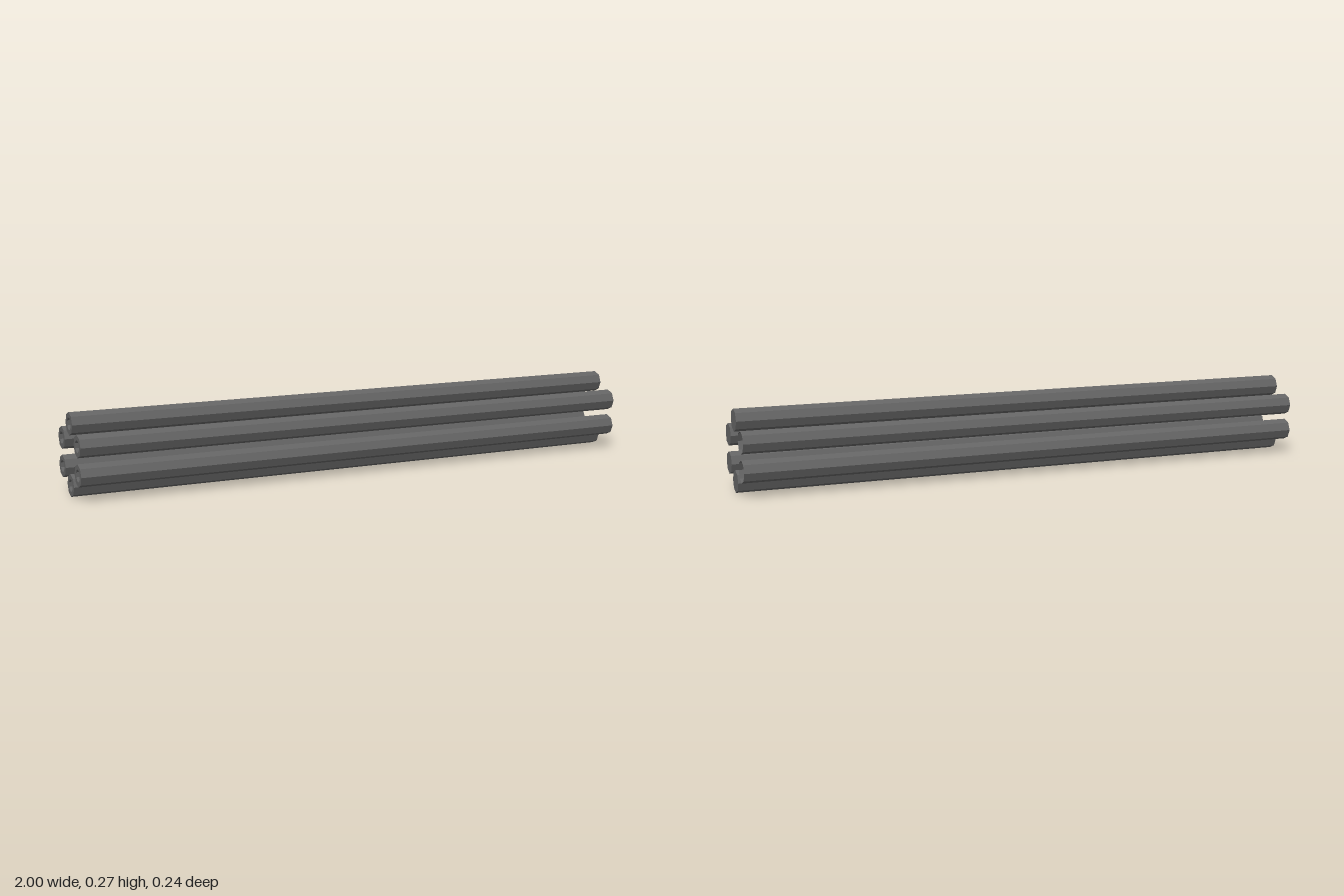
import * as THREE from 'three';

const SIDES = 8, RADIUS = 0.0365, BORE = 0.0205, BORE_DEPTH = 0.05, LENGTH = 2;

// Corner points of a regular octagon
function octagon(radius, turn) {
  return Array.from({ length: SIDES }, (_, i) => {
    const a = turn + (i / SIDES) * Math.PI * 2;
    return new THREE.Vector2(Math.cos(a) * radius, Math.sin(a) * radius);
  });
}

export function createModel() {
  const model = new THREE.Group();
  model.name = 'rodBundle';

  const steel = new THREE.MeshStandardMaterial({
    name: 'dark grey', color: 0x646464, flatShading: true, side: THREE.DoubleSide,
  });

  // Octagonal wall along x
  const wall = new THREE.CylinderGeometry(RADIUS, RADIUS, LENGTH, SIDES, 1, true).rotateZ(Math.PI / 2);

  // Closed end, facing +x
  const endCap = new THREE.ShapeGeometry(new THREE.Shape(octagon(RADIUS, 0)))
    .rotateY(Math.PI / 2).translate(LENGTH / 2, 0, 0);

  // Bored end, facing -x
  const ring = new THREE.Shape(octagon(RADIUS, 0));
  ring.holes.push(new THREE.Path(octagon(BORE, Math.PI / 8).reverse()));
  const boredCap = new THREE.ShapeGeometry(ring).rotateY(-Math.PI / 2).translate(-LENGTH / 2, 0, 0);

  // Blind bore: its wall and its floor
  const boreWall = new THREE.CylinderGeometry(BORE, BORE, BORE_DEPTH, SIDES, 1, true)
    .rotateY(Math.PI / 8).rotateZ(Math.PI / 2).translate(-LENGTH / 2 + BORE_DEPTH / 2, 0, 0);
  const boreFloor = new THREE.ShapeGeometry(new THREE.Shape(octagon(BORE, Math.PI / 8)))
    .rotateY(-Math.PI / 2).translate(-LENGTH / 2 + BORE_DEPTH, 0, 0);

  // Six rods in a ring; the two at the back are open at +x
  const rods = [
    ['topRod', 0.233, 0.004, true],
    ['frontUpperRod', 0.175, 0.086, true],
    ['frontLowerRod', 0.083, 0.085, true],
    ['bottomRod', 0.0365, 0.002, true],
    ['backLowerRod', 0.083, -0.085, false],
    ['backUpperRod', 0.175, -0.084, false],
  ];
  for (const [name, y, z, closed] of rods) {
    const rod = new THREE.Group();
    rod.name = name;
    rod.position.set(0, y, z);
    const parts = { wall, boredCap, boreWall, boreFloor };
    if (closed) parts.endCap = endCap;
    for (const [part, geometry] of Object.entries(parts)) {
      const mesh = new THREE.Mesh(geometry, steel);
      mesh.name = part;
      rod.add(mesh);
    }
    model.add(rod);
  }
  return model;
}
